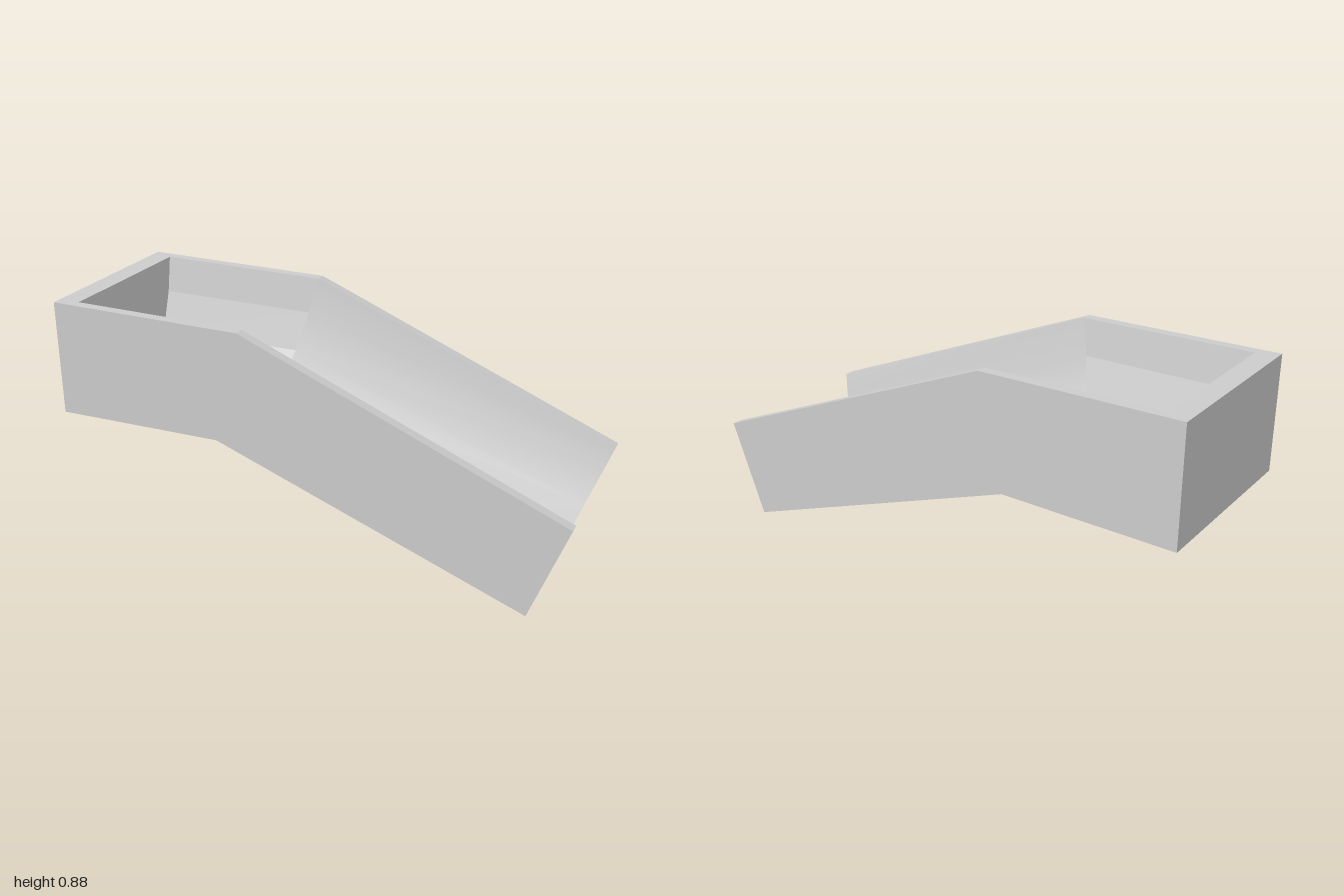
import * as THREE from 'three';

// Half of the channel cross-section: z of each point, from the outer wall inwards
const HALF_Z = [0.363, 0.322, 0.296, 0.242, 0.165, 0.083];
const mirror = (half, sign) => [...half, ...half.map((v) => v * sign).reverse()];
const Z = mirror(HALF_Z, -1);

// Heights of those points, as a fraction of the way from underside to rim
const solid = mirror([1, 1, 1, 1, 1, 1], 1);
const bendCurve = mirror([1, 1, 0.68, 0.335, 0.145, 0.048], 1);
const endCurve = mirror([1, 1, 0.81, 0.39, 0.164, 0.055], 1);

// Stations along the length: underside point, rim point, channel curve
const STATIONS = [
  { low: [-1, 0.433], top: [-1, 0.88], f: solid },
  { low: [-0.917, 0.434], top: [-0.917, 0.879], f: solid },
  { low: [-0.917, 0.434], top: [-0.917, 0.879], f: bendCurve },
  { low: [-0.33, 0.44], top: [-0.23, 0.872], f: bendCurve },
  { low: [0.865, 0], top: [1, 0.368], f: endCurve },
];

const at = (s, f, z) => [
  s.low[0] + (s.top[0] - s.low[0]) * f,
  s.low[1] + (s.top[1] - s.low[1]) * f,
  z,
];
const upper = (s) => Z.map((z, i) => at(s, s.f[i], z));
const lower = (s) => Z.map((z) => at(s, 0, z));

// Non-indexed faces between two matching rows of points
function strip(out, a, b) {
  for (let i = 0; i < a.length - 1; i++) {
    out.push(...a[i], ...b[i], ...b[i + 1], ...a[i], ...b[i + 1], ...a[i + 1]);
  }
}

function makeMesh(name, positions, index, flat) {
  const geometry = new THREE.BufferGeometry();
  geometry.setAttribute('position', new THREE.Float32BufferAttribute(positions, 3));
  if (index) geometry.setIndex(index);
  geometry.computeVertexNormals();
  const mesh = new THREE.Mesh(
    geometry,
    new THREE.MeshStandardMaterial({ color: 0xcccccc, flatShading: flat }),
  );
  mesh.name = name;
  return mesh;
}

export function createModel() {
  const group = new THREE.Group();
  group.name = 'chute';
  const shell = [];
  const trough = [];
  const last = STATIONS.length - 1;

  for (let i = 0; i < last; i++) {
    const a = STATIONS[i];
    const b = STATIONS[i + 1];
    const ua = upper(a);
    const ub = upper(b);
    // Upper side: back rim, inner back wall, level trough, then the slope's two rims
    if (i < last - 1) {
      strip(trough, ua, ub);
    } else {
      strip(shell, ua.slice(0, 2), ub.slice(0, 2));
      strip(shell, ua.slice(-2), ub.slice(-2));
    }
    if (i === 1) continue; // both stations share one plane here
    // Outer side walls and underside
    const la = lower(a);
    const lb = lower(b);
    const n = Z.length - 1;
    strip(shell, [la[0], ua[0]], [lb[0], ub[0]].map((p) => p));
    strip(shell, [ua[n], la[n]], [ub[n], lb[n]]);
    strip(shell, [la[n], la[0]], [lb[n], lb[0]]);
  }

  // Closed back and the open mouth's end face
  const back = STATIONS[0];
  const mouth = STATIONS[last];
  strip(shell, [...upper(back)], [...lower(back)].map((p) => p));
  const endFace = [];
  strip(endFace, upper(mouth), lower(mouth));
  shell.push(...endFace);

  // Winding: make every shell face point away from the solid
  orient(shell);

  // Smooth sloping channel between the bend and the mouth
  const rowA = upper(STATIONS[last - 1]).slice(1, -1);
  const rowB = upper(mouth).slice(1, -1);
  const index = [];
  const n = rowA.length;
  for (let i = 0; i < n - 1; i++) {
    index.push(i, n + i, n + i + 1, i, n + i + 1, i + 1);
  }

  group.add(
    makeMesh('outerShell', shell, null, true),
    makeMesh('levelTrough', trough, null, true),
    makeMesh('slopingChannel', [...rowA, ...rowB].flat(), index, false),
  );
  return group;
}

// Flip triangles whose normal points towards the spine running inside the shell
function orient(p) {
  const v = (i) => new THREE.Vector3(p[i], p[i + 1], p[i + 2]);
  for (let i = 0; i < p.length; i += 9) {
    const [a, b, c] = [v(i), v(i + 3), v(i + 6)];
    const normal = b.clone().sub(a).cross(c.clone().sub(a));
    const centre = a.clone().add(b).add(c).divideScalar(3);
    const x = THREE.MathUtils.clamp(centre.x, -0.9, 0.8);
    const spine = new THREE.Vector3(x, x < -0.28 ? 0.65 : 0.65 - (x + 0.28) * 0.38, 0);
    if (normal.dot(centre.sub(spine)) < 0) {
      for (let k = 0; k < 3; k++) [p[i + 3 + k], p[i + 6 + k]] = [p[i + 6 + k], p[i + 3 + k]];
    }
  }
}
